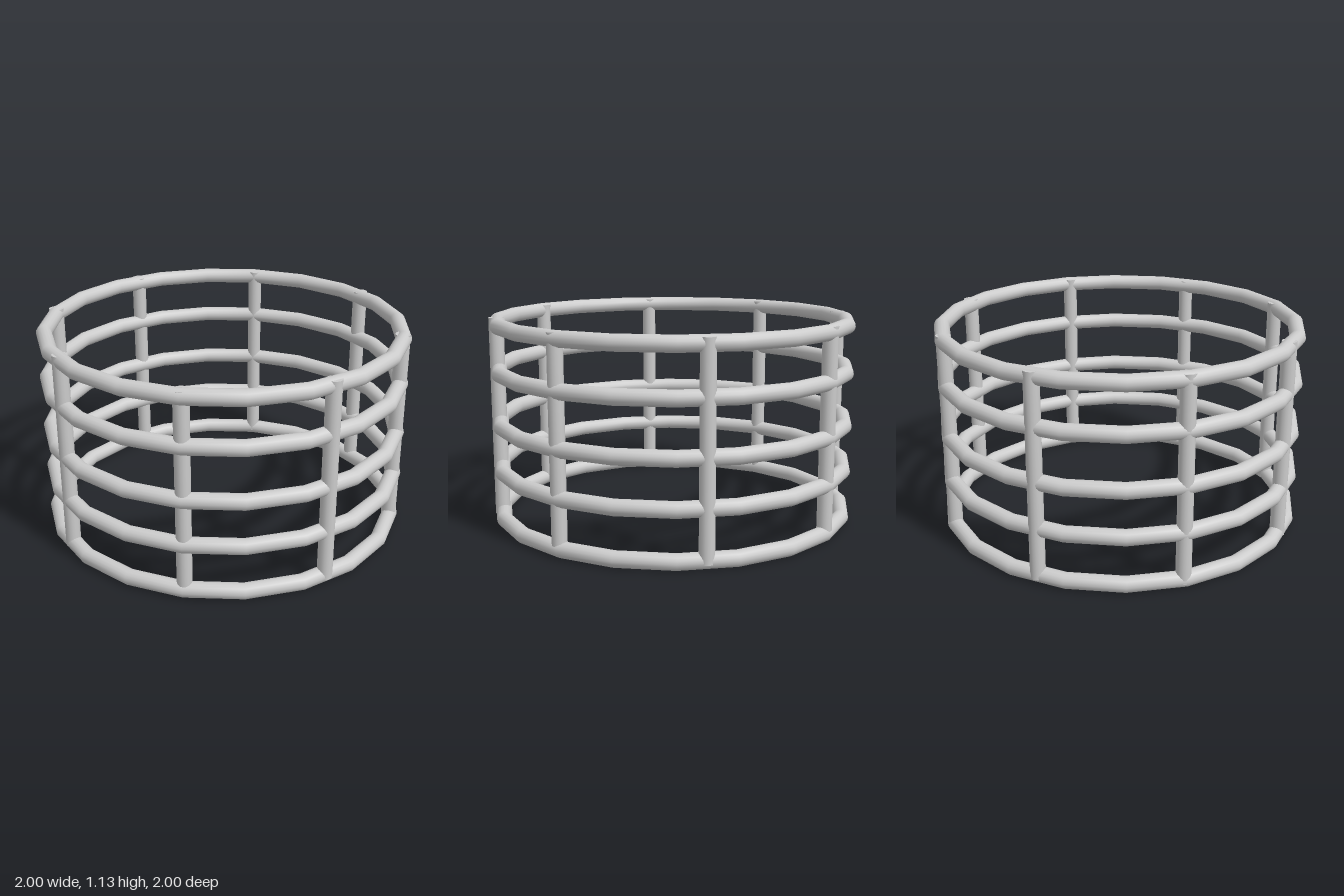
import * as THREE from 'three';

const TUBE = 0.042;
const RING_RADIUS = 0.957;
const RING_HEIGHTS = [0.047, 0.305, 0.553, 0.838, 1.09];

// Post centres [x, z], a little uneven around the rings
const POSTS = [
  [0, 0.946], [0.665, 0.683], [0.951, 0.015], [0.677, -0.671],
  [0, -0.955], [-0.673, -0.675], [-0.956, -0.012], [-0.685, 0.656],
];
const POST_BOTTOM = 0.035;
const POST_TOP = 1.122;

export function createModel() {
  const model = new THREE.Group();
  model.name = 'ringCage';
  const material = new THREE.MeshStandardMaterial({ color: 0xcccccc });

  // Horizontal hoops, twenty straight segments each
  const ringGeometry = new THREE.TorusGeometry(RING_RADIUS, TUBE, 16, 20);
  ringGeometry.rotateX(-Math.PI / 2);
  RING_HEIGHTS.forEach((y, i) => {
    const ring = new THREE.Mesh(ringGeometry, material);
    ring.name = `hoop${i + 1}`;
    ring.position.y = y;
    model.add(ring);
  });

  // Upright posts joining the hoops
  const height = POST_TOP - POST_BOTTOM;
  const postGeometry = new THREE.CylinderGeometry(0.04, 0.04, height, 16);
  POSTS.forEach(([x, z], i) => {
    const post = new THREE.Mesh(postGeometry, material);
    post.name = `post${i + 1}`;
    post.position.set(x, POST_BOTTOM + height / 2, z);
    model.add(post);
  });

  return model;
}
